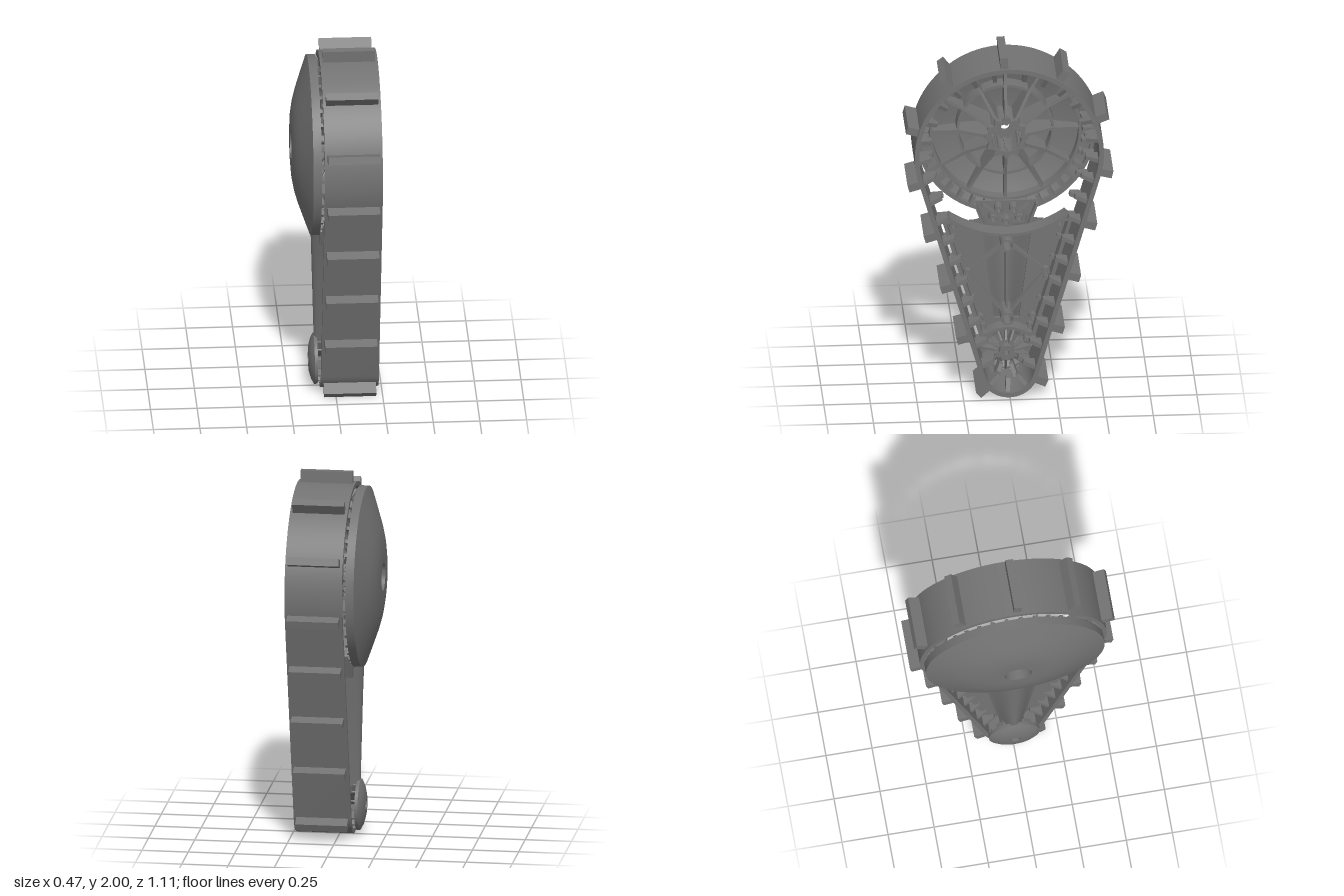
import * as THREE from 'three';
import { toCreasedNormals } from 'three/addons/utils/BufferGeometryUtils.js';
import { ParametricGeometry } from 'three/addons/geometries/ParametricGeometry.js';

// Built facing local +z (the open inner side), then turned so local z becomes x.
const BIG = { y: 1.43, r: 0.507 };
const SMALL = { y: 0.165, r: 0.157 };
const DIST = BIG.y - SMALL.y;
const ALPHA = Math.asin((BIG.r - SMALL.r) / DIST);
const mat = new THREE.MeshStandardMaterial({ color: 0x737373, side: THREE.DoubleSide });

function add(parent, geo, name) {
  const m = new THREE.Mesh(geo, mat);
  m.name = name;
  parent.add(m);
  return m;
}

function section(parent, name, y = 0) {
  const g = new THREE.Group();
  g.name = name;
  g.position.y = y;
  parent.add(g);
  return g;
}

const poly = pts => new THREE.Shape(pts.map(p => new THREE.Vector2(p[0], p[1])));

function extrude(shape, z0, z1) {
  const g = new THREE.ExtrudeGeometry(shape, { depth: z1 - z0, bevelEnabled: false, curveSegments: 48 });
  return toCreasedNormals(g.translate(0, 0, z0), 0.5);
}

// Flat fin drawn as [radial, axial] points
const fin = (pts, t) => extrude(poly(pts), -t / 2, t / 2).rotateX(Math.PI / 2);

// Solid of revolution about z from [radius, axial] points
function turned(pts, seg = 64) {
  const g = new THREE.LatheGeometry(pts.map(p => new THREE.Vector2(p[0], p[1])), seg);
  return toCreasedNormals(g.rotateX(Math.PI / 2), 0.5);
}

const tube = (ro, ri, z0, z1, seg = 32) =>
  turned([[ri, z0], [ro, z0], [ro, z1], [ri, z1], [ri, z0]], seg);

function boss(parent, x, y, ro, ri, z0, z1, name) {
  add(parent, tube(ro, ri, z0, z1, 20), name).position.set(x, y, 0);
}

function bar(parent, a, b, w, z0, z1, name) {
  const dx = b[0] - a[0], dy = b[1] - a[1];
  const m = add(parent, new THREE.BoxGeometry(Math.hypot(dx, dy), w, z1 - z0), name);
  m.position.set((a[0] + b[0]) / 2, (a[1] + b[1]) / 2, (z0 + z1) / 2);
  m.rotation.z = Math.atan2(dy, dx);
}

function ringOf(parent, geo, n, name) {
  for (let i = 0; i < n; i++) add(parent, geo, name).rotation.z = i * 2 * Math.PI / n;
}

// Belt loop, inset by d
function beltPath(path, d) {
  path.absarc(0, BIG.y, BIG.r - d, -ALPHA, Math.PI + ALPHA, false);
  path.absarc(0, SMALL.y, SMALL.r - d, Math.PI + ALPHA, 2 * Math.PI - ALPHA, false);
  path.closePath();
  return path;
}

// Point and outward angle at a distance along the outer belt
const STRAIGHT = DIST * Math.cos(ALPHA);
const ARC1 = (Math.PI + 2 * ALPHA) * BIG.r;
const ARC2 = (Math.PI - 2 * ALPHA) * SMALL.r;
const LENGTH = ARC1 + ARC2 + 2 * STRAIGHT;
function beltAt(s) {
  const on = (c, a, slide = 0) => ({
    x: c.r * Math.cos(a) - slide * Math.sin(a), y: c.y + c.r * Math.sin(a) + slide * Math.cos(a), a });
  s %= LENGTH;
  if (s < ARC1) return on(BIG, -ALPHA + s / BIG.r);
  s -= ARC1;
  if (s < STRAIGHT) return on(BIG, Math.PI + ALPHA, s);
  s -= STRAIGHT;
  if (s < ARC2) return on(SMALL, Math.PI + ALPHA + s / SMALL.r);
  return on(SMALL, -ALPHA, s - ARC2);
}

// Spread the given geometries, taken in turn, evenly around the belt
function alongBelt(parent, geos, n, start, name) {
  for (let i = 0; i < n; i++) {
    const p = beltAt(start + i * LENGTH / n);
    const m = add(parent, geos[i % geos.length], name);
    m.position.set(p.x, p.y, 0);
    m.rotation.z = p.a;
  }
}

// Side panel outline with arcs hollowed around both wheels, inset by d
function panelPath(path, d) {
  const R = 0.53 + d, a = Math.acos((0.31 - 1.3 * d) / R);
  const r = 0.17 + d, b = Math.acos((0.115 - d) / r);
  path.moveTo(0.15 - 1.15 * d, 0.30 + d);
  path.lineTo(0.345 - 1.2 * d, 0.965);
  path.absarc(0, BIG.y, R, -a, -Math.PI + a, true);
  path.lineTo(-0.345 + 1.2 * d, 0.965);
  path.lineTo(-0.15 + 1.15 * d, 0.30 + d);
  path.absarc(0, SMALL.y, r, Math.PI - b, b, true);
  path.closePath();
  return path;
}

function buildBelt(root) {
  const g = section(root, 'track');
  const band = beltPath(new THREE.Shape(), 0);
  band.holes.push(beltPath(new THREE.Path(), 0.025));
  add(g, extrude(band, -0.08, 0.23), 'trackBelt');
  const start = (Math.PI / 2 + 0.05 + ALPHA) * BIG.r;
  alongBelt(g, [fin([[-0.01, -0.065], [0.063, -0.065], [0.063, 0.215], [-0.01, 0.215]], 0.042)], 15, start, 'treadLug');
  // Inner teeth in two staggered rows
  const teeth = [-0.01, 0.16].map(z =>
    fin([[-0.09, z - 0.018], [-0.02, z - 0.05], [-0.02, z + 0.05], [-0.09, z + 0.018]], 0.022));
  alongBelt(g, teeth, 75, start, 'trackTooth');
}

function buildBigWheel(root) {
  const g = section(root, 'largeWheel', BIG.y);
  // Domed cover with a recessed centre
  add(g, turned([[0.027, -0.18], [0.075, -0.18], [0.075, -0.234], [0.13, -0.235], [0.19, -0.23], [0.25, -0.219],
    [0.31, -0.202], [0.37, -0.181], [0.43, -0.16], [0.485, -0.14], [0.485, -0.095], [0.465, -0.095],
    [0.465, -0.13], [0.37, -0.163], [0.25, -0.2], [0.13, -0.215], [0.09, -0.215], [0.09, -0.165],
    [0.027, -0.165], [0.027, -0.18]], 96), 'wheelCover');
  add(g, tube(0.408, 0.393, -0.165, -0.09, 72), 'outerRingRib');
  add(g, tube(0.262, 0.248, -0.21, -0.11, 64), 'innerRingRib');
  add(g, tube(0.095, 0.08, -0.22, 0.0), 'wheelHub');
  ringOf(g, fin([[0.068, -0.17], [0.085, -0.17], [0.085, -0.01], [0.068, -0.01]], 0.014), 12, 'hubSpline');
  // Scalloped collar around the hub
  const collar = [];
  for (let i = 0; i < 96; i++) {
    const a = i * Math.PI / 48, r = 0.108 + 0.011 * Math.cos(12 * a);
    collar.push([r * Math.cos(a), r * Math.sin(a)]);
  }
  const collarShape = poly(collar);
  collarShape.holes.push(new THREE.Path().absarc(0, 0, 0.08, 0, 2 * Math.PI, true));
  add(g, extrude(collarShape, -0.03, 0.002), 'hubCollar');
  ringOf(g, fin([[0.09, -0.218], [0.25, -0.205], [0.4, -0.16], [0.4, -0.1], [0.25, -0.1], [0.11, -0.03], [0.09, -0.03]], 0.016),
    12, 'wheelSpoke');
  ringOf(g, fin([[0.4, -0.16], [0.475, -0.13], [0.475, -0.082], [0.415, -0.085]], 0.02), 38, 'sprocketTooth');
}

function buildSmallWheel(root) {
  const g = section(root, 'smallWheel', SMALL.y);
  add(g, turned([[0.012, -0.125], [0.03, -0.125], [0.03, -0.141], [0.07, -0.138], [0.11, -0.127], [0.138, -0.112],
    [0.138, -0.095], [0.125, -0.095], [0.1, -0.115], [0.012, -0.118], [0.012, -0.125]], 48), 'smallWheelCover');
  add(g, tube(0.04, 0.013, -0.118, 0.0), 'smallWheelHub');
  ringOf(g, fin([[0.035, -0.12], [0.1, -0.118], [0.13, -0.1], [0.13, -0.075], [0.06, -0.035], [0.035, -0.035]], 0.01),
    16, 'smallWheelRib');
}

function buildArm(root) {
  const g = section(root, 'arm');
  // Arm shell: a ridge that flares smoothly out to the panel
  const mix = THREE.MathUtils.lerp;
  const ridge = (u, v, p) => {
    const s = 2 * u - 1;
    const depth = mix(0.09, 0.108, v) * (0.5 + 0.5 * Math.cos(Math.PI * s));
    p.set(s * mix(0.09, 0.2, v), mix(0.25, 0.945, v), -0.02 - depth);
  };
  add(g, new ParametricGeometry(ridge, 32, 12), 'armShell');
  add(g, extrude(poly([[-0.12, 0.895], [0.12, 0.895], [0.17, 1.03], [-0.17, 1.03]]), -0.085, -0.07), 'armHead');
  for (const [x, y] of [[0, 0.93], [0.07, 0.95], [-0.07, 0.95], [0.04, 1], [-0.04, 1]])
    boss(g, x, y, 0.024, 0.012, -0.075, 0.0, 'headBoss');
  for (const s of [-1, 1]) {
    bar(g, [0, 0.93], [s * 0.13, 1.02], 0.012, -0.075, -0.02, 'headRib');
    bar(g, [s * 0.12, 0.9], [s * 0.165, 1.025], 0.012, -0.075, -0.02, 'headRib');
  }
  // Side panel with an opening into the arm, and its edge wall
  const plate = panelPath(new THREE.Shape(), 0);
  plate.holes.push(new THREE.Path([[-0.13, 0.87], [0.13, 0.87], [0.068, 0.37], [-0.068, 0.37]]
    .map(p => new THREE.Vector2(p[0], p[1]))));
  add(g, extrude(plate, -0.025, -0.01), 'sidePanel');
  const wall = panelPath(new THREE.Shape(), 0);
  wall.holes.push(panelPath(new THREE.Path(), 0.016));
  add(g, extrude(wall, -0.025, 0.075), 'panelWall');
  // Bosses and diamond bracing
  boss(g, 0, 0.83, 0.037, 0.026, -0.1, 0.08, 'mainBoss');
  boss(g, 0, 0.4, 0.037, 0.026, -0.08, 0.08, 'mainBoss');
  bar(g, [0, 0.795], [0, 0.435], 0.012, -0.1, 0.02, 'centreRib');
  for (const s of [-1, 1]) {
    const mid = [s * 0.21, 0.65];
    bar(g, [s * 0.026, 0.805], mid, 0.014, -0.02, 0.02, 'braceRib');
    bar(g, [s * 0.026, 0.425], mid, 0.014, -0.02, 0.02, 'braceRib');
    for (const [x, y] of [[0.285, 0.93], [0.21, 0.65], [0.14, 0.38], [0.13, 0.33]])
      boss(g, s * x, y, 0.022, 0.011, -0.02, 0.03, 'cornerBoss');
  }
}

export function createModel() {
  const model = new THREE.Group();
  model.name = 'trackAssembly';
  const root = section(model, 'sideAssembly');
  root.rotation.y = Math.PI / 2;
  root.position.z = 0.004;
  buildBelt(root);
  buildBigWheel(root);
  buildSmallWheel(root);
  buildArm(root);
  return model;
}
